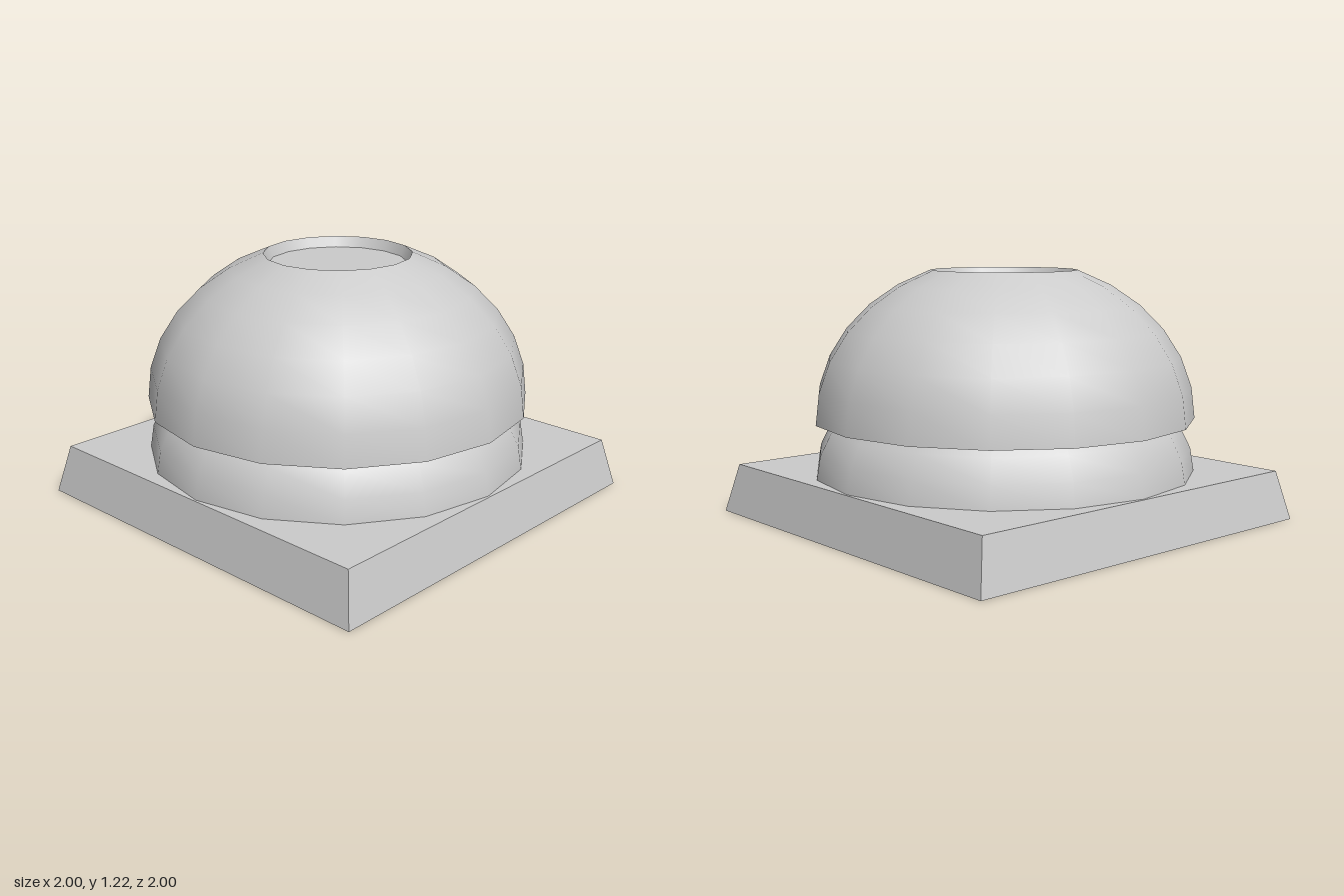
import * as THREE from 'three';

const SIDES = 16;
const RADIUS = 0.935;

export function createModel() {
  const model = new THREE.Group();
  const smooth = new THREE.MeshStandardMaterial({ color: 0xcccccc });
  const faceted = new THREE.MeshStandardMaterial({ color: 0xcccccc, flatShading: true });

  const add = (name, geometry, material = smooth) => {
    const mesh = new THREE.Mesh(geometry, material);
    mesh.name = name;
    model.add(mesh);
    return mesh;
  };

  // Turned surface; separate calls keep the edges between them sharp
  const turn = (name, points) =>
    add(name, new THREE.LatheGeometry(points.map(([r, y]) => new THREE.Vector2(r, y)), SIDES));

  // Squashed dome profile in equal latitude steps, from its equator upwards
  const domeProfile = (baseY, height, steps) =>
    Array.from({ length: steps + 1 }, (_, i) => {
      const a = (i * Math.PI) / 16;
      return [RADIUS * Math.cos(a), baseY + height * Math.sin(a)];
    });

  // Square plinth with sloping sides
  const plinth = new THREE.CylinderGeometry(0.945 * Math.SQRT2, Math.SQRT2, 0.24, 4);
  plinth.rotateY(Math.PI / 4).translate(0, 0.12, 0);
  add('plinth', plinth, faceted);

  // Lower dome, its top hidden inside the upper one
  turn('lowerDome', domeProfile(0.24, 0.57, 3));

  // Upper dome with flat underside
  const upper = domeProfile(0.5, 0.78, 6);
  turn('upperDomeUnderside', [[0, 0.5], upper[0]]);
  turn('upperDome', upper);

  // Shallow well in the top
  const rim = upper[upper.length - 1];
  turn('wellWall', [rim, [0.335, 1.17]]);
  turn('wellFloor', [[0.335, 1.17], [0, 1.17]]);

  return model;
}
